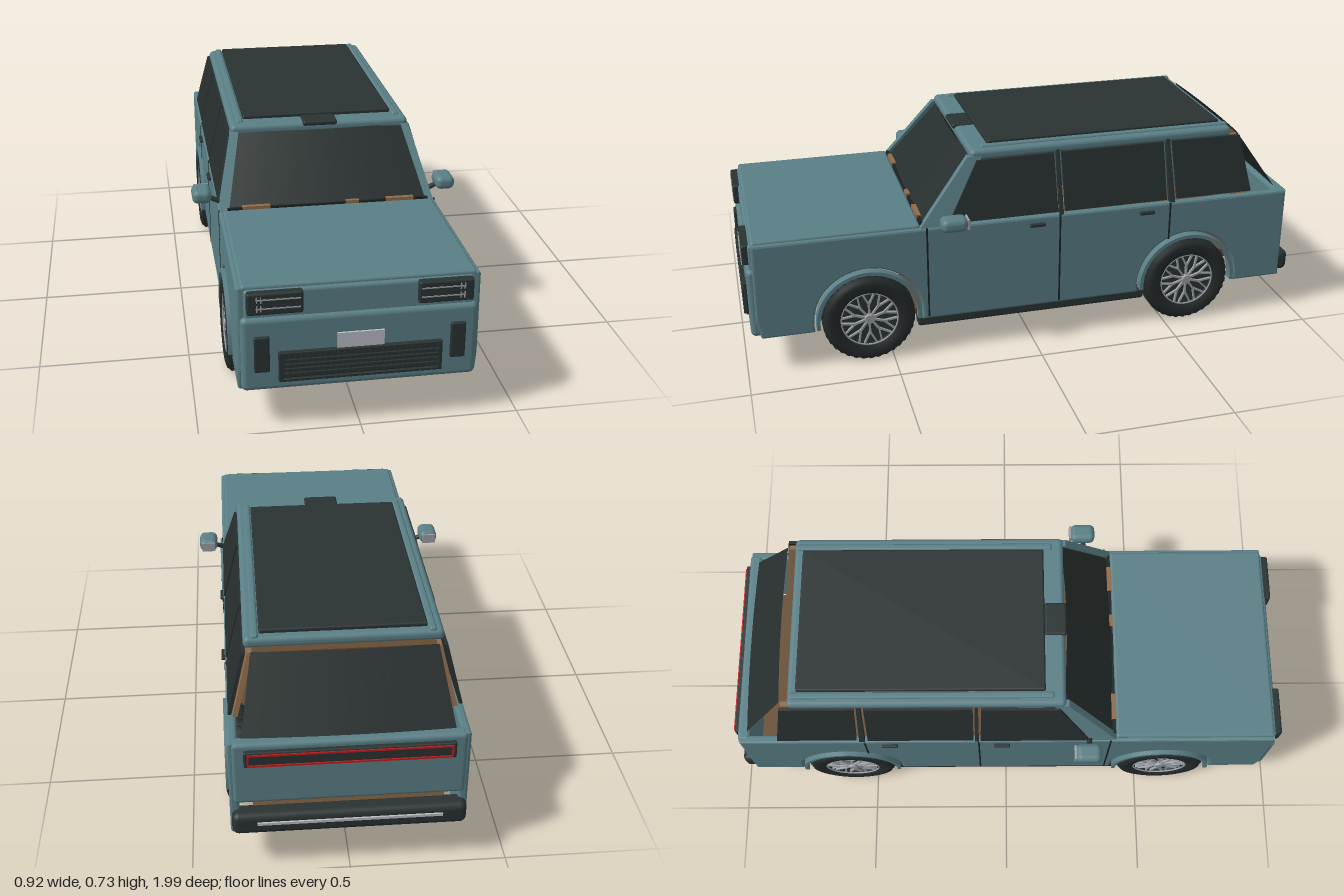
import * as THREE from 'three';
import { RoundedBoxGeometry } from 'three/addons/geometries/RoundedBoxGeometry.js';

const mat = (name, color, side = THREE.FrontSide) => {
  const m = new THREE.MeshStandardMaterial({ color, side });
  m.name = name;
  return m;
};

export function createModel() {
  const paint = mat('teal paint', 0x5a7f86);
  const trim = mat('dark trim', 0x2a3232);
  const glass = mat('tinted glass', 0x262e2d, THREE.DoubleSide);
  const rubber = mat('tyre rubber', 0x242a2a);
  const under = mat('underbody black', 0x1c2224);
  const tan = mat('tan interior', 0x8f6b4a);
  const brown = mat('brown floor', 0x664b32);
  const silver = mat('silver', 0x9a9da2);
  const pale = mat('pale plate', 0xbabac4);
  const red = mat('red lamp', 0xc01c1c);

  const car = new THREE.Group();
  car.name = 'car';
  const add = (name, geo, material, parent = car) => {
    const m = new THREE.Mesh(geo, material);
    m.name = name;
    parent.add(m);
    return m;
  };
  // box given by its limits on each axis, rounded when r > 0
  const box = (name, material, [x0, x1], [y0, y1], [z0, z1], r = 0, parent = car) => {
    const s = [x1 - x0, y1 - y0, z1 - z0];
    const geo = r ? new RoundedBoxGeometry(...s, 3, r) : new THREE.BoxGeometry(...s);
    geo.translate((x0 + x1) / 2, (y0 + y1) / 2, (z0 + z1) / 2);
    return add(name, geo, material, parent);
  };
  // the same box on both sides
  const pair = (name, material, [x0, x1], ys, zs, r = 0) => {
    box(name + 'Left', material, [x0, x1], ys, zs, r);
    box(name + 'Right', material, [-x1, -x0], ys, zs, r);
  };
  // outline in (z, y), extruded across x and centred on x = 0
  const slab = (shape, depth, bevel = 0) => {
    const geo = new THREE.ExtrudeGeometry(shape, {
      depth: depth - 2 * bevel, curveSegments: 28, bevelEnabled: bevel > 0,
      bevelSize: bevel, bevelThickness: bevel, bevelOffset: -bevel, bevelSegments: 2,
    });
    return geo.translate(0, 0, bevel - depth / 2).rotateY(-Math.PI / 2);
  };
  // cabin side pieces lean inward towards the roof
  const leaning = (name, material, pts, depth, inset = 0) => {
    for (const s of [1, -1]) {
      const geo = slab(new THREE.Shape(pts.map(p => new THREE.Vector2(...p))), depth);
      const p = geo.attributes.position;
      for (let i = 0; i < p.count; i++) {
        p.setX(i, p.getX(i) + s * (0.358 - inset - (p.getY(i) - 0.48) * 0.25));
      }
      geo.computeVertexNormals();
      add(name + (s > 0 ? 'Left' : 'Right'), geo, material);
    }
  };

  // lower body sides with wheel arches and flares
  const archZ = 0.58, axleY = 0.16;
  for (const s of [1, -1]) {
    const tag = s > 0 ? 'Left' : 'Right';
    const side = new THREE.Shape();
    side.moveTo(-0.95, 0.47);
    side.lineTo(-0.95, 0.13);
    for (const z of [-archZ, archZ]) side.absarc(z, axleY, 0.187, Math.PI + 0.16, -0.16, true);
    side.lineTo(0.945, 0.13);
    side.lineTo(0.96, 0.2);
    side.lineTo(0.955, 0.475);
    add('bodySide' + tag, slab(side, 0.03, 0.008), paint).position.x = s * 0.358;
    for (const z of [-archZ, archZ]) {
      const flare = new THREE.Shape();
      flare.absarc(z, axleY, 0.181, -0.1, Math.PI + 0.1, false);
      flare.absarc(z, axleY, 0.168, Math.PI + 0.1, -0.1, true);
      add('archFlare' + tag, slab(flare, 0.03), paint).position.x = s * 0.37;
    }
  }
  pair('sill', trim, [0.315, 0.368], [0.1, 0.138], [-0.42, 0.41], 0.01);
  for (const z of [0.372, -0.097]) pair('doorSeam', under, [0.371, 0.3745], [0.14, 0.475], [z - 0.003, z + 0.003]);
  pair('doorSeamRear', under, [0.371, 0.3745], [0.33, 0.47], [-0.506, -0.5]);
  for (const z of [-0.015, -0.415]) pair('doorHandle', trim, [0.37, 0.385], [0.438, 0.45], [z - 0.028, z + 0.028], 0.004);

  // bonnet, cowl and front face
  box('bonnet', paint, [-0.36, 0.36], [0.458, 0.484], [0.392, 0.955], 0.01);
  box('cowl', under, [-0.345, 0.345], [0.455, 0.487], [0.379, 0.391]);
  pair('cowlTrim', tan, [0.2, 0.295], [0.478, 0.492], [0.377, 0.393]);
  box('cowlTrimMiddle', tan, [0.06, 0.105], [0.478, 0.492], [0.377, 0.393]);
  box('upperFascia', paint, [-0.352, 0.352], [0.37, 0.472], [0.91, 0.966], 0.012);
  box('frontBumper', paint, [-0.364, 0.364], [0.135, 0.384], [0.91, 0.978], 0.018);
  pair('headlight', trim, [0.175, 0.345], [0.398, 0.47], [0.93, 0.985], 0.007);
  for (const y of [0.421, 0.45]) {
    pair('headlightStrip', silver, [0.183, 0.318], [y - 0.002, y + 0.002], [0.982, 0.987]);
    for (const x of [0.303, 0.315]) pair('headlightTick', silver, [x - 0.002, x + 0.002], [y - 0.01, y + 0.01], [0.982, 0.987]);
  }
  pair('sideIntake', trim, [0.278, 0.325], [0.205, 0.325], [0.955, 0.988], 0.005);
  box('lowerGrille', under, [-0.245, 0.245], [0.175, 0.265], [0.95, 0.984]);
  for (const y of [0.17, 0.26]) box('grilleFrame', trim, [-0.252, 0.252], [y, y + 0.01], [0.95, 0.993], 0.003);
  pair('grilleFrameEnd', trim, [0.238, 0.252], [0.17, 0.27], [0.95, 0.993], 0.003);
  for (let i = 0; i < 5; i++) {
    const y = 0.192 + i * 0.0155;
    box('grilleSlat', trim, [-0.24, 0.24], [y - 0.0055, y + 0.0055], [0.96, 0.991]);
  }
  box('numberPlate', pale, [-0.072, 0.072], [0.27, 0.32], [0.976, 0.985]);

  // rear face
  box('tailgate', paint, [-0.362, 0.362], [0.245, 0.472], [-0.957, -0.91], 0.014);
  box('tailLampBar', trim, [-0.325, 0.325], [0.395, 0.452], [-0.972, -0.945], 0.006);
  for (const y of [0.404, 0.443]) box('lampLine', red, [-0.315, 0.315], [y - 0.003, y + 0.003], [-0.976, -0.97]);
  pair('lampEnd', red, [0.309, 0.315], [0.404, 0.443], [-0.976, -0.97]);
  box('rearBumper', trim, [-0.368, 0.368], [0.143, 0.22], [-0.988, -0.92], 0.022);
  box('bumperStrip', pale, [-0.29, 0.29], [0.186, 0.195], [-0.994, -0.985]);

  // roof
  box('roof', paint, [-0.312, 0.312], [0.675, 0.713], [-0.745, 0.205], 0.016);
  box('roofPanel', trim, [-0.262, 0.262], [0.7, 0.726], [-0.715, 0.135], 0.006);
  pair('roofRail', paint, [0.264, 0.288], [0.7, 0.72], [-0.738, 0.165], 0.008);
  box('roofSensor', trim, [-0.06, 0.06], [0.702, 0.72], [0.135, 0.212], 0.008);

  // cabin sides: windows and pillars
  leaning('windscreenPillar', paint, [[0.395, 0.47], [0.215, 0.692], [0.165, 0.692], [0.285, 0.47]], 0.026, 0.006);
  leaning('frontWindow', glass, [[0.295, 0.482], [0.185, 0.68], [-0.086, 0.682], [-0.09, 0.482]], 0.012, -0.008);
  leaning('rearWindow', glass, [[-0.116, 0.482], [-0.114, 0.682], [-0.486, 0.682], [-0.49, 0.482]], 0.012, -0.006);
  leaning('quarterWindow', glass, [[-0.53, 0.482], [-0.52, 0.682], [-0.775, 0.68], [-0.812, 0.482]], 0.012, -0.004);
  leaning('middlePillar', trim, [[-0.097, 0.47], [-0.096, 0.69], [-0.107, 0.69], [-0.111, 0.47]], 0.018);
  leaning('rearDoorPillar', trim, [[-0.502, 0.47], [-0.497, 0.69], [-0.511, 0.69], [-0.522, 0.47]], 0.018);
  leaning('rearPillarTrim', tan, [[-0.74, 0.47], [-0.71, 0.68], [-0.772, 0.68], [-0.808, 0.47]], 0.016, 0.016);
  box('rearHeaderTrim', brown, [-0.285, 0.285], [0.662, 0.682], [-0.772, -0.7]);

  // front and rear screens: a plane stretched between a bottom and a top edge
  const screen = (name, [w0, y0, z0], [w1, y1, z1], bulge) => {
    const geo = new THREE.PlaneGeometry(2, 1, 12, 1);
    const p = geo.attributes.position;
    for (let i = 0; i < p.count; i++) {
      const u = p.getX(i), t = p.getY(i) + 0.5;
      p.setXYZ(i, u * (w0 + (w1 - w0) * t), y0 + (y1 - y0) * t, z0 + (z1 - z0) * t + bulge * (1 - u * u));
    }
    geo.computeVertexNormals();
    add(name, geo, glass);
  };
  screen('windscreen', [0.348, 0.478, 0.375], [0.302, 0.69, 0.195], 0.018);
  screen('rearScreen', [0.33, 0.468, -0.925], [0.29, 0.685, -0.775], -0.008);

  // door mirrors
  for (const s of [1, -1]) {
    const mirror = new THREE.Group();
    mirror.name = s > 0 ? 'mirrorLeft' : 'mirrorRight';
    car.add(mirror);
    const xs = (a, b) => (s > 0 ? [a, b] : [-b, -a]);
    box('mirrorShell', paint, xs(0.392, 0.458), [0.482, 0.53], [0.245, 0.335], 0.02, mirror);
    box('mirrorGlass', silver, xs(0.4, 0.45), [0.489, 0.523], [0.24, 0.247], 0, mirror);
    const arm = new THREE.LineCurve3(new THREE.Vector3(s * 0.35, 0.472, 0.3), new THREE.Vector3(s * 0.405, 0.495, 0.29));
    add('mirrorArm', new THREE.TubeGeometry(arm, 1, 0.009, 8), trim, mirror);
  }

  // floor, battery and cabin furniture
  box('floor', brown, [-0.335, 0.335], [0.136, 0.156], [-0.4, 0.42]);
  box('cargoFloor', brown, [-0.3, 0.3], [0.195, 0.225], [-0.92, -0.39]);
  box('cargoSill', tan, [-0.3, 0.3], [0.2, 0.235], [-0.935, -0.92]);
  box('batteryPack', under, [-0.252, 0.252], [0.092, 0.123], [-0.38, 0.36], 0.008);
  box('dashboard', tan, [-0.33, 0.33], [0.39, 0.472], [0.24, 0.375], 0.015);
  for (const z of [0.02, -0.4]) {
    pair('seatCushion', tan, [0.055, 0.275], [0.22, 0.3], [z - 0.05, z + 0.17], 0.02);
    pair('seatBack', tan, [0.055, 0.275], [0.26, 0.56], [z - 0.1, z - 0.04], 0.02);
    pair('headrest', tan, [0.115, 0.215], [0.565, 0.64], [z - 0.1, z - 0.055], 0.015);
  }

  // wheels, built facing +x
  const tyre = new THREE.LatheGeometry([
    [0.1, -0.034], [0.132, -0.04], [0.149, -0.035], [0.159, -0.02],
    [0.159, 0.02], [0.149, 0.035], [0.132, 0.04], [0.1, 0.034], [0.096, 0.018],
  ].map(p => new THREE.Vector2(...p)), 48).rotateZ(-Math.PI / 2);
  const disc = new THREE.CylinderGeometry(0.1, 0.1, 0.04, 40).rotateZ(-Math.PI / 2);
  const hub = new THREE.CylinderGeometry(0.016, 0.019, 0.014, 20).rotateZ(-Math.PI / 2);
  const rim = new THREE.TorusGeometry(0.098, 0.003, 8, 48).rotateY(Math.PI / 2);
  const tread = new THREE.BoxGeometry(0.046, 0.004, 0.012);
  const spoke = new THREE.BoxGeometry(0.01, 0.05, 0.007).translate(0, 0.037, 0);
  const fork = new THREE.BoxGeometry(0.01, 0.05, 0.006).translate(0, 0.024, 0);
  for (const s of [1, -1]) for (const z of [archZ, -archZ]) {
    const wheel = new THREE.Group();
    wheel.name = (z > 0 ? 'front' : 'rear') + 'Wheel' + (s > 0 ? 'Left' : 'Right');
    wheel.position.set(s * 0.346, axleY, z);
    if (s < 0) wheel.rotation.y = Math.PI;
    car.add(wheel);
    add('tyre', tyre, rubber, wheel);
    add('wheelDisc', disc, trim, wheel);
    add('hubCap', hub, silver, wheel).position.x = 0.03;
    add('rimEdge', rim, silver, wheel).position.x = 0.032;
    for (let i = 0; i < 36; i++) {
      const a = i / 36 * Math.PI * 2;
      const block = add('treadBlock', tread, rubber, wheel);
      block.position.set(0, Math.cos(a) * 0.158, Math.sin(a) * 0.158);
      block.rotation.x = a;
    }
    // spokes that fork outward into a lattice
    for (let i = 0; i < 10; i++) {
      const a = i / 10 * Math.PI * 2;
      const stem = add('spoke', spoke, silver, wheel);
      stem.position.x = 0.024;
      stem.rotation.x = a;
      for (const d of [-0.45, 0.45]) {
        const arm = add('spokeFork', fork, silver, wheel);
        arm.position.set(0.024, Math.cos(a) * 0.052, Math.sin(a) * 0.052);
        arm.rotation.x = a + d;
      }
    }
  }
  return car;
}
